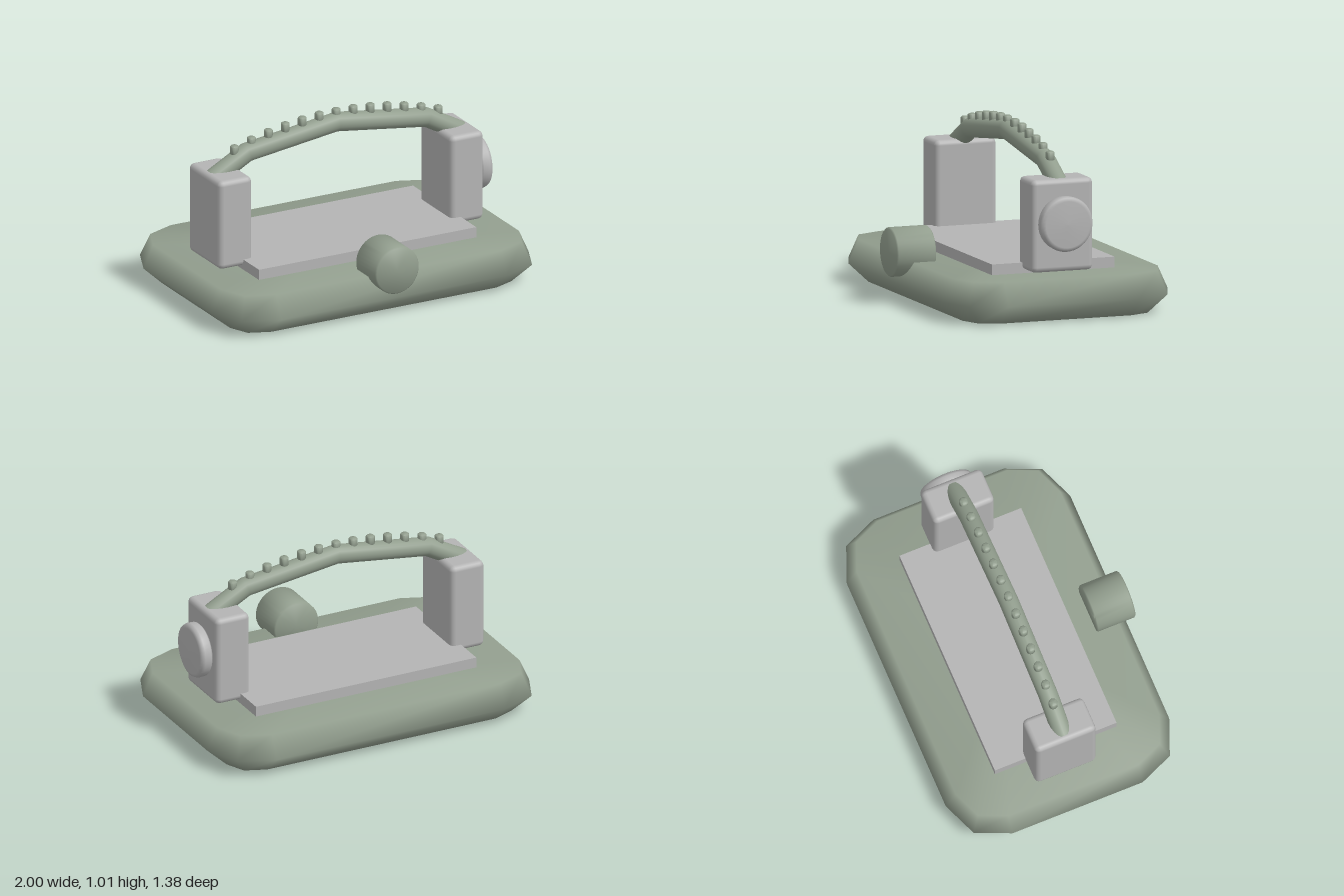
import * as THREE from 'three';
import { RoundedBoxGeometry } from 'three/addons/geometries/RoundedBoxGeometry.js';
import { toCreasedNormals } from 'three/addons/utils/BufferGeometryUtils.js';

const MID_Z = -0.018;

// Rounded slab: three stacked loops with chamfered corners, smooth shaded
function slabGeometry() {
  const rings = [[0, 0.12], [0.11, 0], [0.24, 0.06]]; // height, inset
  const pos = [], idx = [];
  for (const [y, inset] of rings) {
    for (let q = 0; q < 4; q++) {
      const sx = q === 0 || q === 3 ? 1 : -1, sz = q < 2 ? 1 : -1;
      for (let k = 0; k < 3; k++) {
        const a = (q + k / 2) * Math.PI / 2;
        pos.push(sx * 0.71 + Math.cos(a) * (0.29 - inset), y,
          sz * 0.39 + Math.sin(a) * (0.28 - inset));
      }
    }
  }
  const n = 12, bottom = n * 3, top = bottom + 1;
  pos.push(0, 0, 0, 0, 0.24, 0);
  for (let i = 0; i < n; i++) {
    const j = (i + 1) % n;
    for (let r = 0; r < 2; r++) {
      const p = r * n, u = p + n;
      idx.push(p + i, u + i, p + j, p + j, u + i, u + j);
    }
    idx.push(bottom, i, j, top, 2 * n + j, 2 * n + i);
  }
  const g = new THREE.BufferGeometry();
  g.setAttribute('position', new THREE.Float32BufferAttribute(pos, 3));
  g.setIndex(idx);
  g.computeVertexNormals();
  return g;
}

// Cylinder standing on y = 0 with a chamfered top rim
function capGeometry(radius, height, bevel, sides) {
  const profile = [[0, 0], [radius - bevel, 0], [radius, bevel], [radius, height - bevel],
    [radius - bevel, height], [0, height]].map(([x, y]) => new THREE.Vector2(x, y));
  return toCreasedNormals(new THREE.LatheGeometry(profile, sides), 0.9);
}

// Straight-segment path, one tube ring at each corner
class BentPath extends THREE.Curve {
  constructor(points) { super(); this.points = points; }
  at(u) { return Math.round(u * (this.points.length - 1)); }
  getPoint(u, target = new THREE.Vector3()) { return target.copy(this.points[this.at(u)]); }
  getPointAt(u, target) { return this.getPoint(u, target); }
  getTangentAt(u, target = new THREE.Vector3()) {
    const i = this.at(u), p = this.points;
    const a = p[Math.max(i - 1, 0)], b = p[i], c = p[Math.min(i + 1, p.length - 1)];
    const d1 = b.clone().sub(a).normalize(), d2 = c.clone().sub(b).normalize();
    return target.copy(d1.add(d2)).normalize();
  }
}

export function createModel() {
  const model = new THREE.Group();
  model.name = 'clampBase';
  const green = new THREE.MeshStandardMaterial({ color: 0x929e8e });
  green.name = 'sage green';
  const grey = new THREE.MeshStandardMaterial({ color: 0xb4b4b4 });
  grey.name = 'light grey';

  const add = (name, geometry, material, x, y, z, parent = model) => {
    const mesh = new THREE.Mesh(geometry, material);
    mesh.name = name;
    mesh.position.set(x, y, z);
    parent.add(mesh);
    return mesh;
  };

  // Base and the plate on it
  add('base', slabGeometry(), green, 0, 0, -0.02);
  add('plate', new THREE.BoxGeometry(1.37, 0.08, 0.73), grey, 0, 0.26, -0.02);

  // Posts on both sides
  for (const s of [-1, 1]) {
    add(s > 0 ? 'leftPost' : 'rightPost',
      new RoundedBoxGeometry(0.21, 0.52, 0.365, 2, 0.03), grey, s * 0.73, 0.52, MID_Z);
  }

  // Bent handle bar between the posts, with closed ends
  const points = [[-0.78, 0.735], [-0.565, 0.853], [0, 0.93], [0.565, 0.853], [0.78, 0.735]]
    .map(([x, y]) => new THREE.Vector3(x, y, 0));
  add('handle', new THREE.TubeGeometry(new BentPath(points), 4, 0.055, 20), green, 0, 0, MID_Z);
  for (const s of [-1, 1]) {
    add('handleEnd', new THREE.SphereGeometry(0.053, 16, 10), green, s * 0.745, 0.745, MID_Z);
  }

  // Row of studs along the handle
  const studs = new THREE.Group();
  studs.name = 'studs';
  model.add(studs);
  const studGeometry = capGeometry(0.025, 0.06, 0.006, 16);
  for (let i = -6; i <= 6; i++) {
    const x = i * 0.107;
    add('stud', studGeometry, green, x, 0.95 - 0.25 * x * x, MID_Z, studs);
  }

  // Round side knob, slightly domed
  const knobProfile = [[0, 0], [0.14, 0], [0.153, 0.012], [0.155, 0.05], [0.148, 0.067], [0.13, 0.074], [0, 0.078]]
    .map(([x, y]) => new THREE.Vector2(x, y));
  add('sideKnob', new THREE.LatheGeometry(knobProfile, 40), grey, 0.838, 0.535, MID_Z)
    .rotation.z = -Math.PI / 2;

  // Round front knob
  add('frontKnob', capGeometry(0.138, 0.232, 0.008, 40), green, 0, 0.285, 0.458)
    .rotation.x = Math.PI / 2;

  return model;
}
